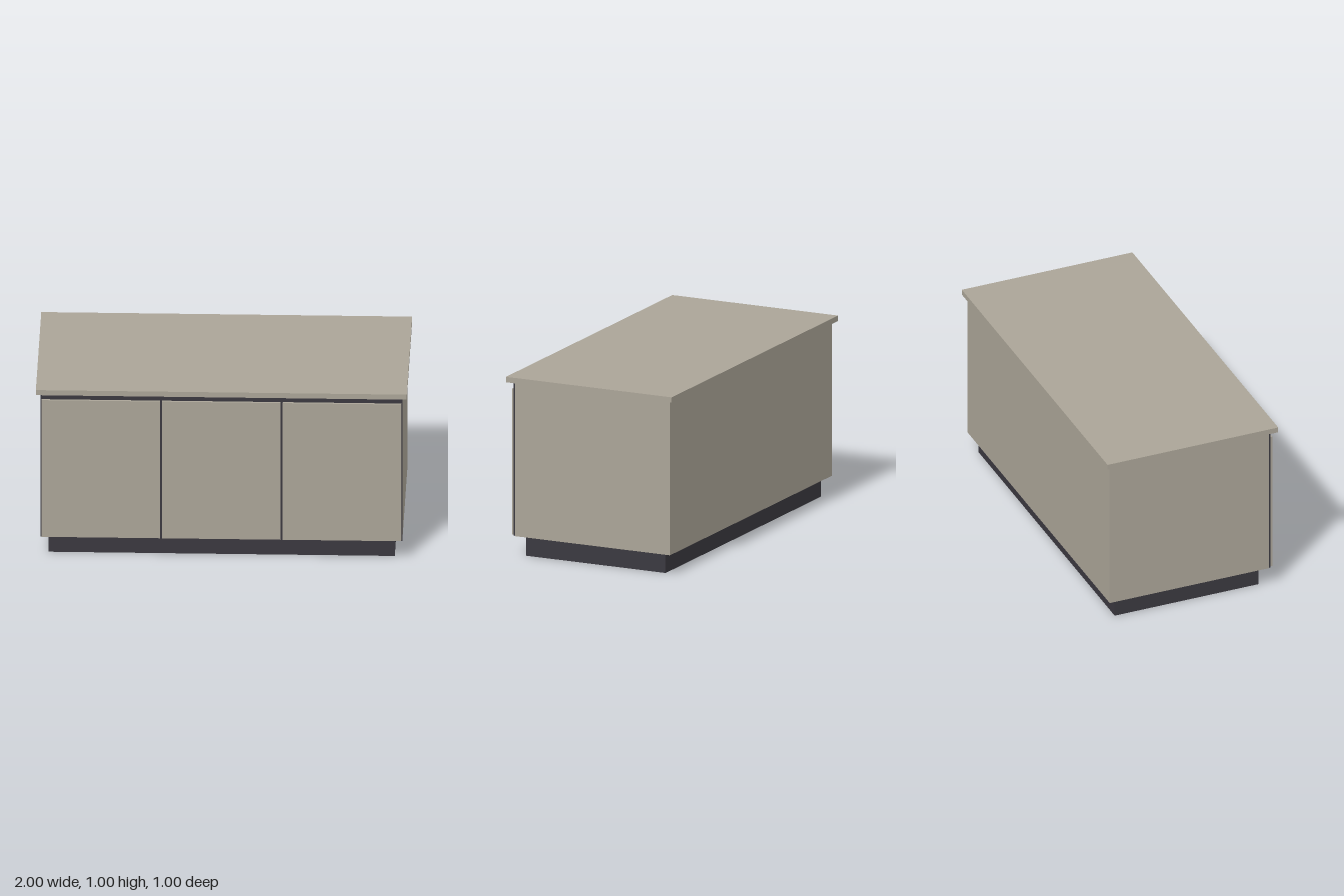
import * as THREE from 'three';

export function createModel() {
  const model = new THREE.Group();
  model.name = 'sideboard';

  const greige = new THREE.MeshStandardMaterial({ color: 0xaaa497 });
  greige.name = 'warm grey laminate';
  const charcoal = new THREE.MeshStandardMaterial({ color: 0x3a383f });
  charcoal.name = 'charcoal';

  // Box given by its extents along each axis
  function addBox(name, material, [x0, x1], [y0, y1], [z0, z1]) {
    const mesh = new THREE.Mesh(new THREE.BoxGeometry(x1 - x0, y1 - y0, z1 - z0), material);
    mesh.position.set((x0 + x1) / 2, (y0 + y1) / 2, (z0 + z1) / 2);
    mesh.name = name;
    model.add(mesh);
  }

  // Recessed base, cabinet body and overhanging top
  addBox('plinth', charcoal, [-0.933, 0.933], [0, 0.113], [-0.43, 0.412]);
  addBox('carcass', greige, [-0.975, 0.975], [0.113, 0.97], [-0.477, 0.458]);
  addBox('worktop', greige, [-1, 1], [0.97, 1], [-0.5, 0.5]);

  // Dark backing that shows in the gaps and the finger groove
  addBox('shadowGap', charcoal, [-0.975, 0.975], [0.115, 0.97], [0.458, 0.466]);

  // Three equal doors
  const pitch = 0.65, doorWidth = 0.639;
  ['rightDoor', 'middleDoor', 'leftDoor'].forEach((name, i) => {
    const x = (i - 1) * pitch;
    addBox(name, greige, [x - doorWidth / 2, x + doorWidth / 2], [0.119, 0.931], [0.466, 0.479]);
  });

  return model;
}
